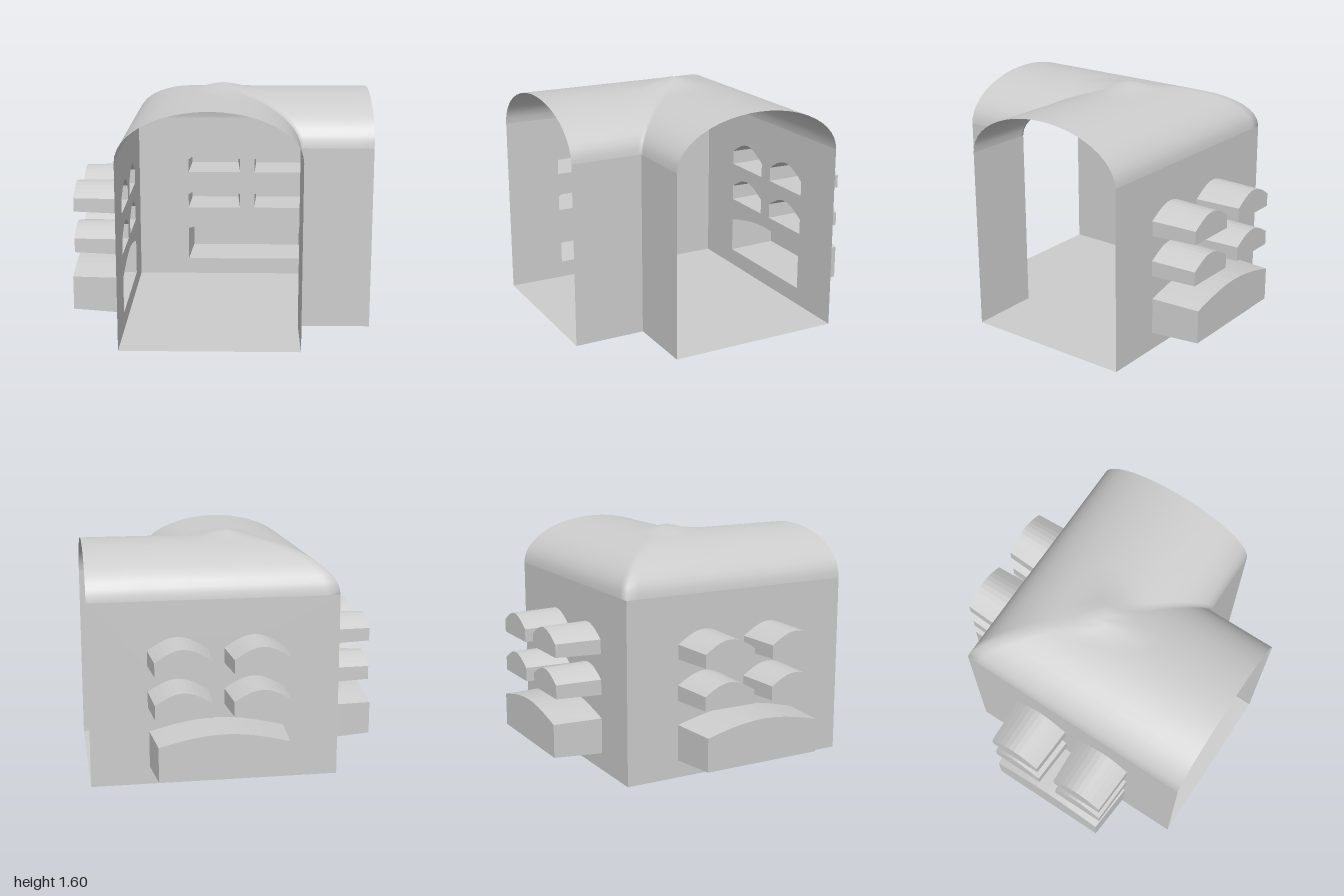
import * as THREE from 'three';

const OUT = -0.66, IN = 0.515, END = 1;   // outer wall, inner wall, open ends
const SPRING = 1.235, RISE = 0.32;        // vault springing height and rise
const MID = (OUT + IN) / 2, HALF = (IN - OUT) / 2;

// Outline of an arched recess: bottom corners, then the arch from right to left
function archOutline(a, b, y0, ySide, yTop, steps = 10) {
  const pts = [[a, y0], [b, y0]];
  for (let i = 0; i <= steps; i++) {
    const t = i / steps;
    pts.push([b + (a - b) * t, ySide + (yTop - ySide) * Math.sin(Math.PI * t)]);
  }
  return pts;
}

// Recess box behind the wall, open towards the room and slightly tapered
function recessGeometry(near, far, z0, z1) {
  const pos = [], n = near.length;
  const c = [(far[0][0] + far[1][0]) / 2, far[0][1]];
  for (let i = 0; i < n; i++) {
    const p = near[i], q = near[(i + 1) % n], r = far[i], s = far[(i + 1) % n];
    pos.push(...p, z0, ...r, z1, ...q, z0, ...q, z0, ...r, z1, ...s, z1);
    pos.push(...c, z1, ...s, z1, ...r, z1);
  }
  const g = new THREE.BufferGeometry();
  g.setAttribute('position', new THREE.Float32BufferAttribute(pos, 3));
  g.computeVertexNormals();
  return g;
}

// Vault swept round the corner, mitred on the diagonal with a small peak
function vaultGeometry() {
  const cols = 25, pos = [], index = [];
  const along = [1, 0.8, 0.6, 0.4, 0.25, 0.12, 0.05, 0];
  const rows = [...along.map(s => [s, 0]), ...along.slice(0, -1).reverse().map(s => [s, 1])];
  rows.forEach(([s, wing], i) => {
    for (let j = 0; j < cols; j++) {
      const a = Math.PI * j / (cols - 1);
      const across = MID - HALF * Math.cos(a);
      const run = across + (END - across) * s;
      const x = wing ? run : across, z = wing ? across : run;
      const peak = 0.05 * Math.max(0, 1 - Math.hypot(x, z) / 0.2);
      pos.push(x, SPRING + RISE * Math.sin(a) + peak, z);
      if (i && j) {
        const d = i * cols + j, c = d - 1, b = d - cols, e = b - 1;
        index.push(e, b, c, b, d, c);
      }
    }
  });
  const g = new THREE.BufferGeometry();
  g.setAttribute('position', new THREE.Float32BufferAttribute(pos, 3));
  g.setIndex(index);
  g.computeVertexNormals();
  return g;
}

export function createModel() {
  const root = new THREE.Group();
  root.name = 'cornerCorridor';
  const stone = new THREE.MeshStandardMaterial({ color: 0xcccccc, side: THREE.DoubleSide });
  stone.name = 'paleStone';
  const add = (parent, name, geometry) => {
    const m = new THREE.Mesh(geometry, stone);
    m.name = name;
    parent.add(m);
    return m;
  };

  // L-shaped floor
  const plan = new THREE.Shape([[OUT, OUT], [END, OUT], [END, IN], [IN, IN], [IN, END], [OUT, END]]
    .map(([x, z]) => new THREE.Vector2(x, -z)));
  add(root, 'floor', new THREE.ShapeGeometry(plan).rotateX(-Math.PI / 2));

  add(root, 'vaultedRoof', vaultGeometry());

  // Short inner walls
  const len = END - IN;
  add(root, 'innerWallFront', new THREE.PlaneGeometry(len, SPRING)).position.set(IN + len / 2, SPRING / 2, IN);
  const side = add(root, 'innerWallSide', new THREE.PlaneGeometry(len, SPRING));
  side.rotation.y = Math.PI / 2;
  side.position.set(IN, SPRING / 2, IN + len / 2);

  // Recesses: left, right, bottom, side top, arch top, depth
  const recesses = [[-0.285, 0.61, 0.12, 0.365, 0.44, 1.0]];
  for (const [y0, ys, yt] of [[0.53, 0.635, 0.715], [0.81, 0.91, 0.995]])
    for (const [a, b] of [[-0.285, 0.112], [0.222, 0.617]])
      recesses.push([a, b, y0, ys, yt, 0.98]);

  // Outer wall with its recesses; flip mirrors the layout along the wall
  function outerWall(name, flip) {
    const group = new THREE.Group();
    group.name = name;
    const ends = [OUT * flip, END * flip].sort((p, q) => p - q);
    const wall = new THREE.Shape([[ends[0], 0], [ends[1], 0], [ends[1], SPRING], [ends[0], SPRING]]
      .map(p => new THREE.Vector2(...p)));
    for (const [l, r, y0, ys, yt, depth] of recesses) {
      const [a, b] = [l * flip, r * flip].sort((p, q) => p - q);
      const taper = depth === 1 ? 0.025 : 0.015;
      const near = archOutline(a, b, y0, ys, yt);
      const far = archOutline(a + taper, b - taper, y0 + taper * 0.7, ys, yt - 0.006);
      wall.holes.push(new THREE.Path(near.map(p => new THREE.Vector2(...p))));
      add(group, 'recess', recessGeometry(near, far, OUT, -depth));
    }
    add(group, 'wallFace', new THREE.ShapeGeometry(wall)).position.z = OUT;
    root.add(group);
    return group;
  }
  outerWall('backWall', 1);
  outerWall('rightWall', -1).rotation.y = Math.PI / 2;

  return root;
}
